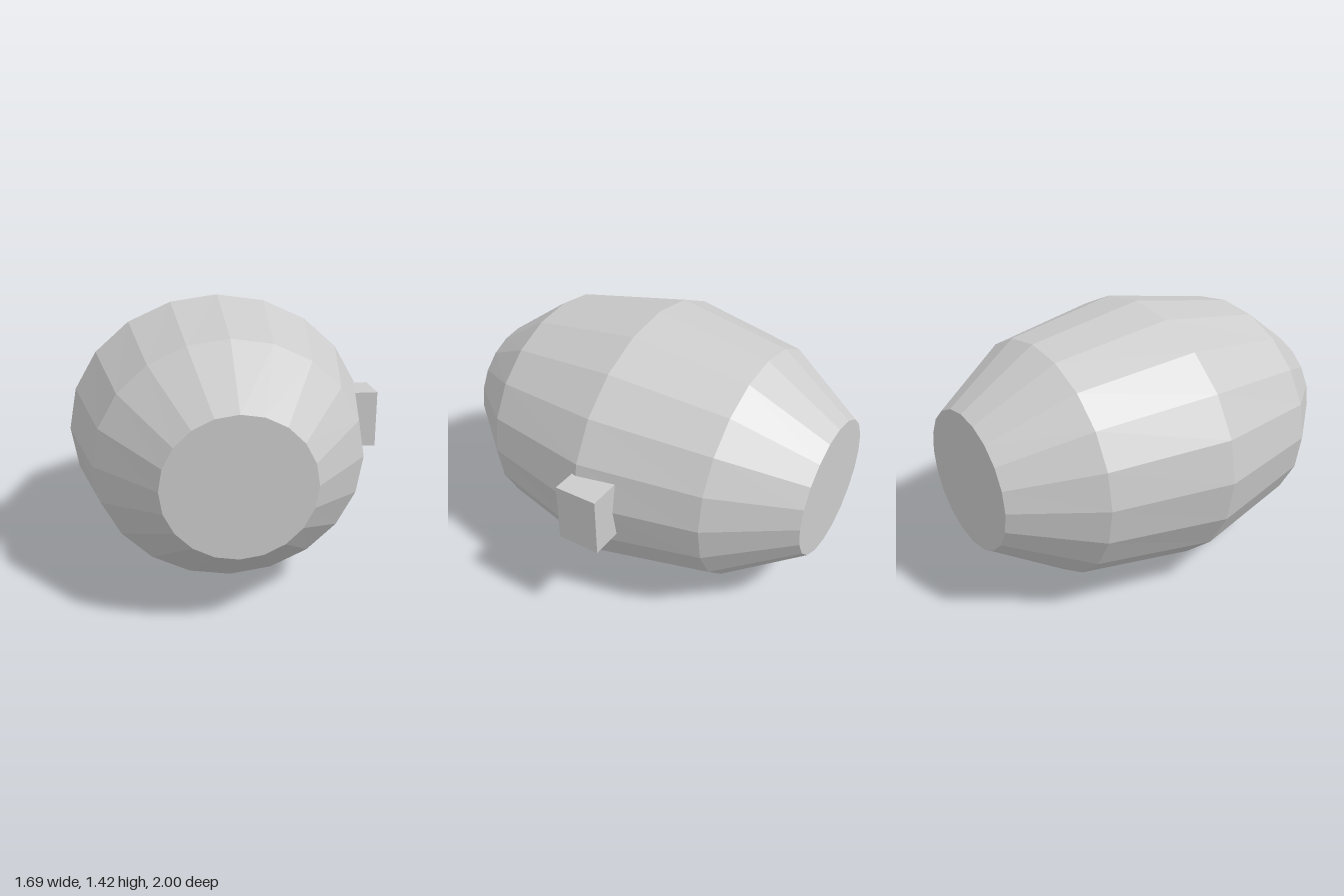
import * as THREE from 'three';

const SIDES = 20;
// Elliptical hoops from back to front: z, half width, half height
const RINGS = [
  [-1, 0.382, 0.354],
  [-0.6, 0.654, 0.611],
  [0.02, 0.797, 0.71],
  [0.64, 0.655, 0.597],
  [1, 0.358, 0.34],
];

// Faceted shell lofted through the hoops, closed by flat end caps
function barrelGeometry() {
  const positions = [];
  const index = [];
  for (const [z, rx, ry] of RINGS) {
    for (let i = 0; i < SIDES; i++) {
      const a = (i / SIDES) * Math.PI * 2;
      positions.push(rx * Math.cos(a), ry * Math.sin(a), z);
    }
  }
  const last = RINGS.length - 1;
  const backCentre = RINGS.length * SIDES;
  const frontCentre = backCentre + 1;
  positions.push(0, 0, RINGS[0][0], 0, 0, RINGS[last][0]);

  for (let i = 0; i < SIDES; i++) {
    const j = (i + 1) % SIDES;
    for (let r = 0; r < last; r++) {
      const a = r * SIDES + i, b = r * SIDES + j;
      index.push(a, b, b + SIDES, a, b + SIDES, a + SIDES);
    }
    index.push(backCentre, j, i);
    index.push(frontCentre, last * SIDES + i, last * SIDES + j);
  }
  const indexed = new THREE.BufferGeometry();
  indexed.setAttribute('position', new THREE.Float32BufferAttribute(positions, 3));
  indexed.setIndex(index);
  const geometry = indexed.toNonIndexed();
  geometry.computeVertexNormals();
  return geometry;
}

export function createModel() {
  const model = new THREE.Group();
  model.name = 'barrel';
  const material = new THREE.MeshStandardMaterial({ color: 0xcccccc, flatShading: true });

  // Barrel lying along z
  const body = new THREE.Mesh(barrelGeometry(), material);
  body.name = 'barrelBody';
  body.position.set(-0.047, 0.712, 0);
  model.add(body);

  // Square plug set into the left side
  const plug = new THREE.Mesh(new THREE.BoxGeometry(0.22, 0.31, 0.225), material);
  plug.name = 'sidePlug';
  plug.position.set(0.733, 0.715, -0.067);
  model.add(plug);

  return model;
}
